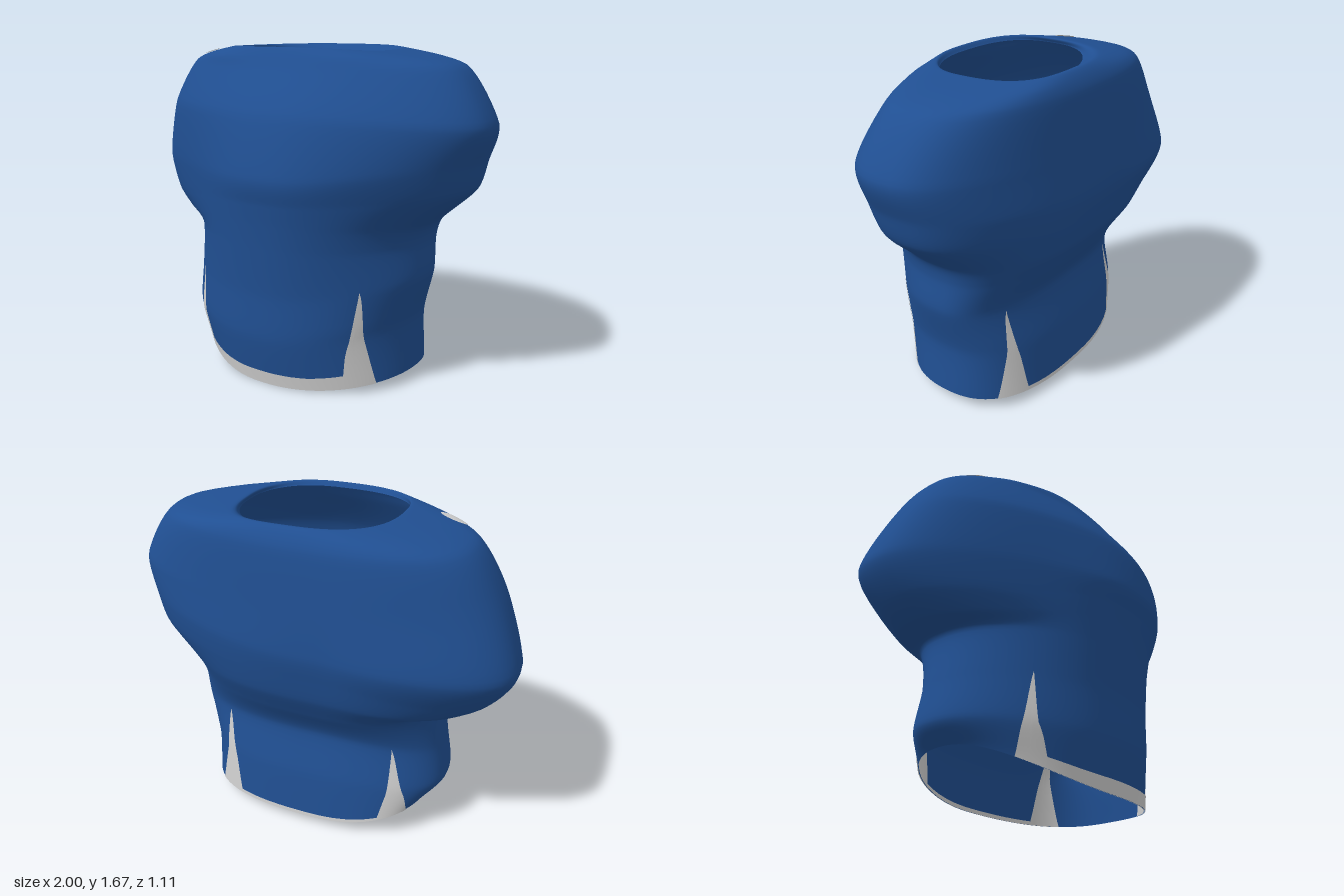
import * as THREE from 'three';

const blue = new THREE.MeshStandardMaterial({ color: 0x204f92, side: THREE.DoubleSide });
blue.name = 'blue cloth';
const white = new THREE.MeshStandardMaterial({ color: 0xd0d0d0, side: THREE.DoubleSide });
white.name = 'pale trim';

// four profile curves from hem to collar; every point is one level of the shirt
const curve = (pts) => new THREE.CatmullRomCurve3(pts.map((p) => new THREE.Vector3(...p)), false, 'catmullrom', 0.35);
const leftSide = curve([
  [0.65, 0.06, -0.07], [0.64, 0.32, -0.08], [0.70, 0.56, -0.08], [0.69, 0.73, -0.09], [0.72, 0.83, -0.09], [0.90, 1.0, -0.09],
  [0.95, 1.15, -0.08], [1.0, 1.33, -0.05], [0.82, 1.59, -0.06], [0.46, 1.655, -0.04], [0.44, 1.63, -0.04]]);
const rightSide = curve([
  [-0.60, 0.19, -0.09], [-0.68, 0.29, -0.09], [-0.65, 0.5, -0.09], [-0.63, 0.74, -0.10], [-0.78, 0.77, -0.12], [-0.90, 0.85, -0.14],
  [-1.0, 1.04, -0.19], [-0.88, 1.36, -0.12], [-0.72, 1.59, -0.09], [-0.38, 1.665, 0], [-0.37, 1.64, 0]]);
const front = curve([
  [0.03, 0.0, 0.44], [0.03, 0.25, 0.48], [0.04, 0.48, 0.48], [0.07, 0.72, 0.50], [0.09, 0.85, 0.515], [0.11, 0.95, 0.53],
  [0.12, 1.08, 0.55], [0.12, 1.36, 0.48], [0.08, 1.57, 0.34], [0.04, 1.67, 0.27], [0.04, 1.65, 0.24]]);
const back = curve([
  [0.0, 0.05, -0.44], [0.0, 0.3, -0.41], [-0.02, 0.54, -0.36], [-0.05, 0.7, -0.44], [-0.08, 0.82, -0.50], [-0.1, 0.95, -0.53],
  [-0.12, 1.08, -0.55], [-0.1, 1.3, -0.53], [-0.02, 1.58, -0.49], [0.08, 1.67, -0.42], [0.08, 1.61, -0.32]]);
const LEVELS = 10;
// per level: how square the body section is, and how narrow the sleeve swelling is
const roundness = [0.88, 0.88, 0.88, 0.86, 0.83, 0.8, 0.8, 0.8, 0.8, 0.75, 0.75];
const sleeveFocus = [3, 3, 3, 4, 4, 4, 3.2, 2.5, 2.5, 2.5, 2.5];

// point on the cloth: a = angle round the body (0 = left side, PI/2 = front), v = level
function cloth(a, v) {
  const t = THREE.MathUtils.clamp(v / LEVELS, 0, 1);
  const c = Math.cos(a), s = Math.sin(a);
  const i = Math.min(Math.floor(t * LEVELS), LEVELS - 1);
  const atLevel = (list) => THREE.MathUtils.lerp(list[i], list[i + 1], t * LEVELS - i);
  const p = atLevel(roundness);
  const C = Math.abs(c) ** p, S = Math.abs(s) ** p;
  const side = (c > 0 ? leftSide : rightSide).getPoint(t);
  const face = (s > 0 ? front : back).getPoint(t);
  // width beyond the chest belongs to the sleeve and swells only near the side
  const chest = THREE.MathUtils.clamp(side.x, -0.59, 0.65);
  return new THREE.Vector3(
    chest * C + (side.x - chest) * Math.abs(c) ** atLevel(sleeveFocus) + face.x * (1 - C),
    side.y * c * c + face.y * s * s,
    face.z * S + side.z * C * C);
}

// cloth point lifted along the outward normal
function lifted(a, v, lift) {
  const e = 0.02, v0 = Math.max(v - e, 0);
  const da = cloth(a + e, v).sub(cloth(a - e, v));
  const dv = cloth(a, v + e).sub(cloth(a, v0));
  return cloth(a, v).addScaledVector(dv.cross(da).normalize(), lift);
}

// grid of columns and rows; at(i, j) gives each point
function sheet(name, material, nu, nv, at, closed = false) {
  const pos = [], index = [], cols = closed ? nu : nu + 1, row = nv + 1;
  for (let i = 0; i < cols; i++) for (let j = 0; j <= nv; j++) pos.push(...at(i, j).toArray());
  for (let i = 0; i < nu; i++) for (let j = 0; j < nv; j++) {
    const p = i * row + j, q = ((i + 1) % cols) * row + j;
    index.push(p, p + 1, q, q, p + 1, q + 1);
  }
  const g = new THREE.BufferGeometry();
  g.setAttribute('position', new THREE.Float32BufferAttribute(pos, 3));
  g.setIndex(index);
  g.computeVertexNormals();
  const mesh = new THREE.Mesh(g, material);
  mesh.name = name;
  return mesh;
}

// trim rising from the hem; outline holds [angle, top level] pairs
function trim(name, outline, lift) {
  const sub = 6, rows = 10, n = (outline.length - 1) * sub;
  return sheet(name, white, n, rows, (i, j) => {
    const k = Math.min(Math.floor(i / sub), outline.length - 2), f = i / sub - k;
    const a = THREE.MathUtils.lerp(outline[k][0], outline[k + 1][0], f);
    const top = THREE.MathUtils.lerp(outline[k][1], outline[k + 1][1], f);
    return lifted(a, top * j / rows, lift);
  });
}

export function createModel() {
  const group = new THREE.Group();
  group.name = 'shirt';

  // body and sleeves in one piece, open at hem and neck
  const around = 96, up = 80;
  group.add(sheet('shirtBody', blue, around, up,
    (i, j) => cloth(i / around * Math.PI * 2, j / up * LEVELS), true));

  // pale hem bands with a tall point at each end, outside and inside
  const P = Math.PI;
  const frontHem = [
    [0.57, 0], [0.67, 0.95], [0.77, 2.1], [0.81, 0.95], [0.85, 0.65], [0.88, 0.31], [1.2, 0.29], [P / 2, 0.3], [P - 1.2, 0.28],
    [P - 0.95, 0.28], [P - 0.91, 0.65], [P - 0.87, 0.95], [P - 0.82, 2.1], [P - 0.76, 1.0], [P - 0.7, 0]];
  const backHem = [
    [-P + 0.53, 0], [-P + 0.7, 0.9], [-P + 0.84, 2.0], [-P + 0.86, 0.8], [-P + 0.9, 0.1], [-P / 2, 0.1],
    [-0.97, 0.1], [-0.91, 0.6], [-0.87, 0.95], [-0.82, 1.95], [-0.72, 0.9], [-0.6, 0]];
  for (const [where, lift] of [['Outer', 0.004], ['Inner', -0.004]]) {
    group.add(trim('frontHem' + where, frontHem, lift));
    group.add(trim('backHem' + where, backHem, lift));
  }

  // small pale oval on the right shoulder
  group.add(sheet('shoulderSpot', white, 24, 3, (i, j) => {
    const b = -i / 24 * P * 2, r = 1 - j / 3;
    const da = 0.12 * r * Math.sin(b);
    return lifted(P - 0.29 + da, 8.36 + 0.18 * r * Math.cos(b) + 0.55 * da, 0.005);
  }, true));

  // centre on x and z, stand on the ground
  const box = new THREE.Box3().setFromObject(group);
  const mid = box.getCenter(new THREE.Vector3());
  group.children.forEach((m) => m.geometry.translate(-mid.x, -box.min.y, -mid.z));
  return group;
}
